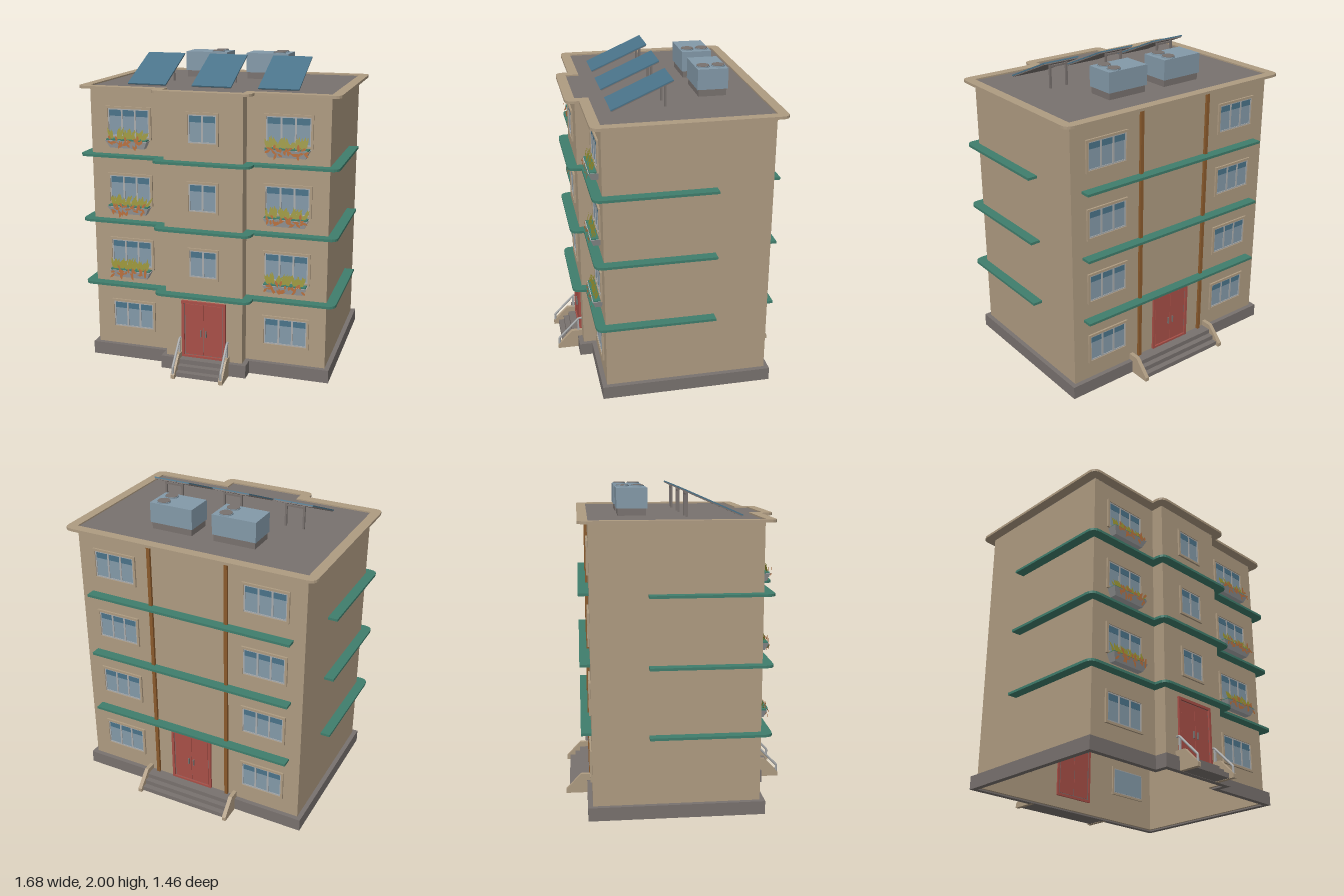
import * as THREE from 'three';
import { mergeGeometries } from 'three/addons/utils/BufferGeometryUtils.js';

const mat = (name, color, side = THREE.FrontSide) => {
  const m = new THREE.MeshStandardMaterial({ color, side });
  m.name = name;
  return m;
};

export function createModel() {
  const root = new THREE.Group();
  root.name = 'apartmentBuilding';
  const M = {
    wall: mat('sandWall', 0xae9b81), grey: mat('stoneGrey', 0x78716e),
    green: mat('ledgeGreen', 0x3f7d6c), red: mat('doorRed', 0xa84f47),
    glass: mat('paleBlueGrey', 0x8399a8), blue: mat('deepBlue', 0x4a7389),
    metal: mat('lightGrey', 0xa9abac), brown: mat('pipeBrown', 0x8a5a2c),
    leaf: mat('leafOlive', 0x8f8a2c, THREE.DoubleSide),
    flower: mat('flowerOrange', 0xb8703e, THREE.DoubleSide),
  };
  const add = (parent, name, geo, m) => {
    const mesh = new THREE.Mesh(geo, m);
    mesh.name = name;
    parent.add(mesh);
    return mesh;
  };
  const box = (parent, name, m, w, h, d, x, y, z) => {
    const b = add(parent, name, new THREE.BoxGeometry(w, h, d), m);
    b.position.set(x, y, z);
    return b;
  };
  const group = (name, x = 0, y = 0, z = 0, ry = 0) => {
    const g = new THREE.Group();
    g.name = name;
    g.position.set(x, y, z);
    g.rotation.y = ry;
    root.add(g);
    return g;
  };

  // Floor plan (x, z), pushed outward by d, with optional rounded outer corners
  const front = [[-0.775, 0.475], [-0.256, 0.475], [-0.256, 0.56], [0.256, 0.56], [0.256, 0.475], [0.775, 0.475]];
  const back = [[0.775, -0.56], [-0.775, -0.56]];
  const push = (pts, d) => pts.map(([x, z]) => new THREE.Vector2(x + Math.sign(x) * d, -(z + Math.sign(z) * d)));
  const round = (pts, r, closed) => {
    const n = pts.length, out = [];
    pts.forEach((p, i) => {
      const a = pts[(i + n - 1) % n], b = pts[(i + 1) % n];
      const convex = (p.x - a.x) * (b.y - p.y) - (p.y - a.y) * (b.x - p.x) > 0;
      if (!r || !convex || (!closed && (i === 0 || i === n - 1))) return out.push(p);
      const s = p.clone().add(a.clone().sub(p).setLength(r));
      const e = p.clone().add(b.clone().sub(p).setLength(r));
      out.push(...new THREE.QuadraticBezierCurve(s, p, e).getPoints(4));
    });
    return out;
  };
  const plan = (d, r = 0) => round(push([...front, ...back], d), r, true);
  const slab = (name, m, outer, inner, y0, y1) => {
    const shape = new THREE.Shape(outer);
    if (inner) shape.holes.push(new THREE.Path(inner));
    const geo = new THREE.ExtrudeGeometry(shape, { depth: y1 - y0, bevelEnabled: false });
    geo.rotateX(-Math.PI / 2).translate(0, y0, 0);
    return add(root, name, geo, m);
  };

  // Shell, plinth and roof
  slab('walls', M.wall, plan(0), plan(-0.02), 0.01, 1.812);
  slab('plinth', M.grey, plan(0.03), plan(-0.005), 0, 0.085);
  slab('roofDeck', M.grey, plan(0), null, 1.808, 1.818);
  slab('roofRim', M.wall, plan(0.063, 0.055), plan(0), 1.81, 1.827);

  // Green ledges between storeys: a front wrap and a straight back strip
  for (const y of [0.52, 0.952, 1.384]) {
    const ends = (pts, d) => [new THREE.Vector2(-0.775 - d, 0.212), ...pts, new THREE.Vector2(0.775 + d, 0.212)];
    const outer = round(ends(push(front, 0.063), 0.063), 0.055, false);
    const inner = ends(push(front, -0.005), -0.005).reverse();
    slab('frontLedge', M.green, [...outer, ...inner], null, y - 0.008, y + 0.008);
    box(root, 'backLedge', M.green, 1.4, 0.016, 0.065, 0, y, -0.592);
  }

  // Rectangular border
  const border = (parent, name, m, w, h, t, z0, z1) => {
    const rect = (a, b) => [[-a, -b], [a, -b], [a, b], [-a, b]].map(p => new THREE.Vector2(p[0] / 2, p[1] / 2));
    const s = new THREE.Shape(rect(w, h));
    s.holes.push(new THREE.Path(rect(w - 2 * t, h - 2 * t)));
    const geo = new THREE.ExtrudeGeometry(s, { depth: z1 - z0, bevelEnabled: false });
    add(parent, name, geo.translate(0, 0, z0), m);
  };

  // Windows
  const addWindow = (x, y, z, w, panes, ry) => {
    const g = group('window', x, y, z, ry), h = 0.205;
    border(g, 'windowSurround', M.wall, w, h, 0.014, -0.03, 0.012);
    border(g, 'windowSash', M.metal, w - 0.028, h - 0.028, 0.008, -0.03, 0.007);
    box(g, 'glass', M.glass, w - 0.04, h - 0.04, 0.034, 0, 0, -0.014);
    box(g, 'skyReflection', M.blue, w - 0.044, 0.04, 0.002, 0, 0.061, 0.0035);
    for (let i = 1; i < panes; i++)
      box(g, 'mullion', M.metal, 0.012, h - 0.04, 0.036, (w - 0.04) * (i / panes - 0.5), 0, -0.011);
  };

  // Flower boxes
  let seed = 7;
  const rnd = () => (seed = (seed * 16807) % 2147483647) / 2147483647;
  const petal = (len, wid) => {
    const s = new THREE.Shape();
    s.quadraticCurveTo(-wid, len * 0.6, 0, len);
    s.quadraticCurveTo(wid, len * 0.6, 0, 0);
    return new THREE.ShapeGeometry(s, 3);
  };
  const addPlanter = (x, y) => {
    const g = group('flowerBox', x, y, 0.475);
    const geo = new THREE.BoxGeometry(0.28, 0.05, 0.062).translate(0, -0.025, 0.031);
    const p = geo.attributes.position;
    for (let i = 0; i < p.count; i++)
      if (p.getY(i) < -0.03) p.setXYZ(i, p.getX(i) * 0.82, p.getY(i), p.getZ(i) * 0.7);
    geo.computeVertexNormals();
    add(g, 'trough', geo, M.metal);
    box(g, 'greenery', M.green, 0.27, 0.01, 0.05, 0, 0.003, 0.031);
    const leaves = [], flowers = [];
    for (let t = 0; t < 6; t++) {
      const cx = -0.105 + t * 0.042;
      for (let i = 0; i < 6; i++) {
        leaves.push(petal(0.05 + rnd() * 0.045, 0.018).rotateZ((rnd() - 0.5) * 1.1)
          .rotateX(-0.25).translate(cx + (rnd() - 0.5) * 0.02, -0.008, 0.035 + rnd() * 0.02));
      }
      for (let i = 0; i < 4; i++) {
        flowers.push(petal(0.03 + rnd() * 0.02, 0.016).rotateZ(rnd() * 6.28)
          .translate(cx * 0.9 + (rnd() - 0.5) * 0.04, 0.005 - rnd() * 0.03, 0.063 + rnd() * 0.01));
      }
    }
    add(g, 'leaves', mergeGeometries(leaves), M.leaf);
    add(g, 'flowers', mergeGeometries(flowers), M.flower);
  };

  for (let f = 0; f < 4; f++) {
    const y = 0.3 + f * 0.432;
    for (const s of [-1, 1]) {
      addWindow(s * 0.517, y, 0.475, 0.305, 3, 0);
      addWindow(s * 0.517, y, -0.56, 0.305, 3, Math.PI);
      if (f) addPlanter(s * 0.517, y - 0.107);
    }
    if (f) addWindow(0, y, 0.56, 0.208, 2, 0);
  }

  // Entrances: double door, steps and sloped side walls
  const addEntrance = (name, ry, halfWidth, stepEnd) => {
    const g = group(name, 0, 0, 0, ry);
    const door = new THREE.Group();
    door.name = 'door';
    door.position.set(0, 0.284, 0.56);
    g.add(door);
    border(door, 'doorFrame', M.red, 0.295, 0.39, 0.017, -0.03, 0.014);
    box(door, 'doorGap', M.grey, 0.265, 0.36, 0.03, 0, 0, -0.012);
    for (const s of [-1, 1]) {
      box(door, 'doorLeaf', M.red, 0.122, 0.346, 0.036, s * 0.0625, 0, -0.01);
      box(door, 'doorHandle', M.grey, 0.007, 0.045, 0.012, s * 0.018, -0.02, 0.013);
    }
    for (let i = 0; i < 3; i++) {
      const end = stepEnd - i * 0.036;
      box(g, 'step', M.grey, halfWidth * 2, 0.03, end - 0.56, 0, 0.017 + i * 0.03, (end + 0.56) / 2);
    }
    const side = new THREE.Shape([[0.56, 0], [0.728, 0], [0.728, 0.025], [0.63, 0.127], [0.56, 0.127]]
      .map(p => new THREE.Vector2(-p[0], p[1])));
    for (const s of [-1, 1]) {
      const geo = new THREE.ExtrudeGeometry(side, { depth: 0.026, bevelEnabled: false });
      geo.rotateY(Math.PI / 2).translate(s * (halfWidth + 0.012) - 0.013, 0, 0);
      add(g, 'stairSide', geo, M.wall);
    }
    return g;
  };
  addEntrance('backEntrance', Math.PI, 0.311, 0.705);
  const entrance = addEntrance('frontEntrance', 0, 0.148, 0.695);
  for (const s of [-1, 1]) {
    const x = s * 0.16, v = (y, z) => new THREE.Vector3(x, y, z);
    const path = new THREE.CurvePath();
    const pts = [v(0.02, 0.718), v(0.075, 0.718), v(0.218, 0.58), v(0.218, 0.55)];
    for (let i = 0; i < 3; i++) path.add(new THREE.LineCurve3(pts[i], pts[i + 1]));
    add(entrance, 'handrail', new THREE.TubeGeometry(path, 40, 0.008, 6), M.metal);
    box(entrance, 'railPost', M.metal, 0.012, 0.1, 0.012, x, 0.165, 0.585);
  }

  // Drain pipes on the back
  for (const s of [-1, 1]) box(root, 'drainPipe', M.brown, 0.022, 1.73, 0.02, s * 0.262, 0.947, -0.567);

  // Rooftop cooling units
  for (const x of [-0.215, 0.211]) {
    const g = group('coolingUnit', x, 1.818, -0.28);
    box(g, 'unitBase', M.grey, 0.275, 0.045, 0.175, 0, 0.022, 0);
    box(g, 'unitBody', M.glass, 0.29, 0.128, 0.192, 0, 0.108, 0);
    for (const z of [-0.048, 0.048]) {
      add(g, 'fanRim', new THREE.CylinderGeometry(0.043, 0.043, 0.008, 24), M.glass).position.set(0.073, 0.175, z);
      add(g, 'fan', new THREE.CylinderGeometry(0.039, 0.039, 0.01, 24), M.grey).position.set(0.073, 0.177, z);
    }
  }

  // Solar panels leaning toward the front
  for (const x of [-0.428, 0, 0.428]) {
    const g = group('solarPanel', x, 1.911, 0.195);
    const tilt = new THREE.Group();
    tilt.name = 'panel';
    tilt.rotation.x = Math.atan2(0.163, 0.375);
    g.add(tilt);
    box(tilt, 'panelFace', M.blue, 0.256, 0.008, 0.408, 0, 0.002, 0);
    box(tilt, 'panelBack', M.grey, 0.25, 0.006, 0.4, 0, -0.005, 0);
    for (const s of [-1, 1]) box(g, 'panelPost', M.grey, 0.013, 0.152, 0.013, s * 0.06, -0.018, -0.15);
    box(g, 'panelBrace', M.grey, 0.13, 0.012, 0.012, 0, 0.045, -0.15);
  }
  return root;
}
